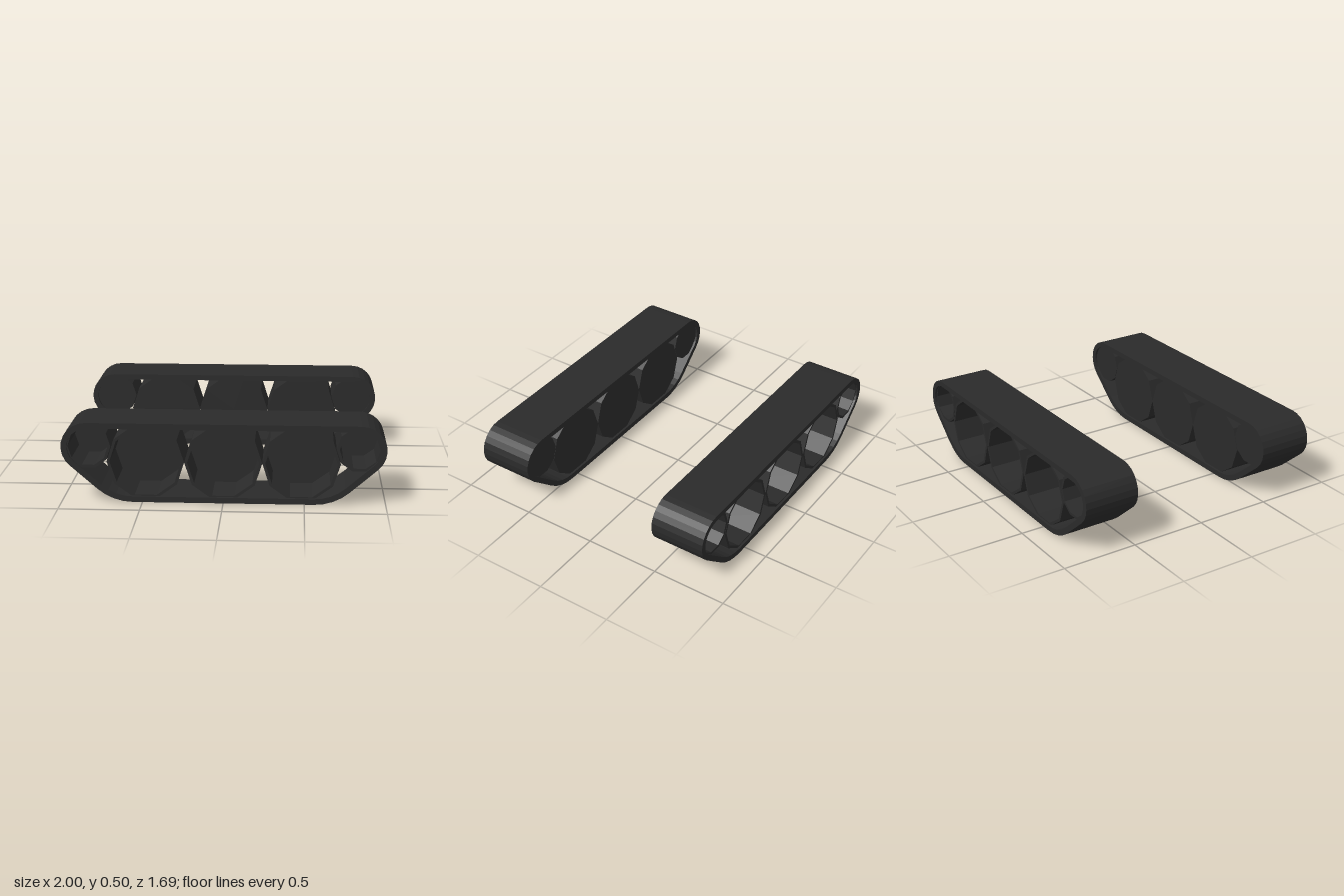
import * as THREE from 'three';

const WIDTH = 0.365, MID_Z = 0.6625;
const material = new THREE.MeshStandardMaterial({ color: 0x2a2a2a, flatShading: true });

// Belt outline inset by t: small arcs at the ends, wide arcs down to the ground run
function beltPoints(t) {
  const half = [];
  const arc = (cx, cy, r, from, to, n) => {
    for (let i = 0; i <= n; i++) {
      const a = THREE.MathUtils.degToRad(from + (to - from) * i / n);
      half.push(new THREE.Vector2(cx + r * Math.cos(a), cy + r * Math.sin(a)));
    }
  };
  arc(0.56, 0.33, 0.33 - t, -90, -49, 4);
  arc(0.845, 0.347, 0.155 - t, -49, 90, 9);
  const mirrored = half.map(p => new THREE.Vector2(-p.x, p.y)).reverse();
  return [...half, ...mirrored];
}

function makeBelt() {
  const shape = new THREE.Shape(beltPoints(0));
  shape.holes.push(new THREE.Path(beltPoints(0.036).reverse()));
  const geo = new THREE.ExtrudeGeometry(shape, { depth: WIDTH, bevelEnabled: false });
  geo.translate(0, 0, -WIDTH / 2);
  const mesh = new THREE.Mesh(geo, material);
  mesh.name = 'trackBelt';
  return mesh;
}

// Ten-sided cup: closed on the inner side, open towards the outside
function makeWheel(name, x, y, radius) {
  const d = WIDTH / 2 - 0.015, rim = radius - 0.018;
  const profile = [[0, -d], [radius, -d], [radius, d], [rim, d], [rim, -d + 0.05], [0, -d + 0.05]]
    .map(([r, h]) => new THREE.Vector2(r, h));
  const geo = new THREE.LatheGeometry(profile, 10, Math.PI / 2);
  geo.rotateX(Math.PI / 2);
  const mesh = new THREE.Mesh(geo, material);
  mesh.name = name;
  mesh.position.set(x, y, 0);
  return mesh;
}

function makeTrack(name) {
  const track = new THREE.Group();
  track.name = name;
  track.add(makeBelt());
  for (const x of [-0.48, 0, 0.48]) track.add(makeWheel('roadWheel', x, 0.255, 0.24));
  for (const x of [-0.835, 0.835]) track.add(makeWheel('endWheel', x, 0.35, 0.142));
  return track;
}

export function createModel() {
  const model = new THREE.Group();
  model.name = 'trackPair';
  const front = makeTrack('frontTrack');
  front.position.z = MID_Z;
  // The second track is turned round so its open wheels also face outwards
  const back = makeTrack('backTrack');
  back.position.z = -MID_Z;
  back.rotation.y = Math.PI;
  model.add(front, back);
  return model;
}
